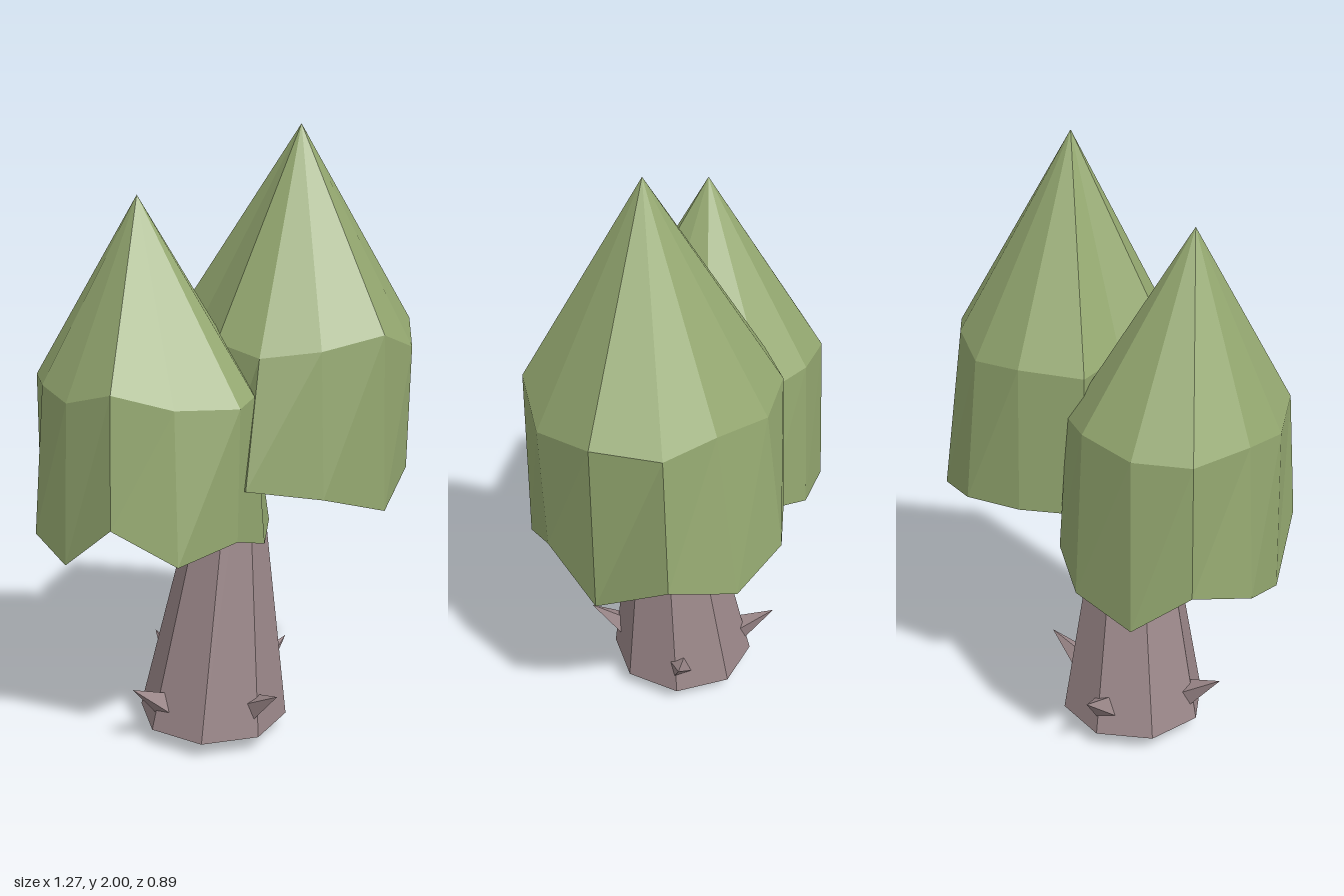
import * as THREE from 'three';

const leafMaterial = new THREE.MeshStandardMaterial({ color: 0x94a870, flatShading: true, side: THREE.DoubleSide });
const barkMaterial = new THREE.MeshStandardMaterial({ color: 0x9c888a, flatShading: true });

function addMesh(parent, name, geometry, material) {
  const mesh = new THREE.Mesh(geometry, material);
  mesh.name = name;
  parent.add(mesh);
  return mesh;
}

// Pointed cap over a hanging ragged skirt; rings run from +x towards +z
function canopyGeometry(apex, rim, hem) {
  const n = rim.length;
  const index = [];
  for (let i = 0; i < n; i++) {
    const j = (i + 1) % n;
    const a = 1 + i, b = 1 + j, c = 1 + n + j, d = 1 + n + i;
    index.push(0, b, a, a, b, c, a, c, d);
  }
  const geometry = new THREE.BufferGeometry();
  geometry.setAttribute('position', new THREE.Float32BufferAttribute([apex, ...rim, ...hem].flat(), 3));
  geometry.setIndex(index);
  geometry.computeVertexNormals();
  return geometry;
}

export function createModel() {
  const tree = new THREE.Group();
  tree.name = 'tree';

  // Tall canopy
  addMesh(tree, 'tallCanopy', canopyGeometry(
    [0.23, 2, 0],
    [
      [0.63, 1.37, -0.04], [0.55, 1.32, 0.18], [0.4, 1.39, 0.32], [0.2, 1.35, 0.325],
      [0.02, 1.33, 0.28], [-0.08, 1.36, 0.155], [-0.09, 1.37, -0.05], [-0.14, 1.35, -0.22],
      [0.02, 1.36, -0.35], [0.21, 1.34, -0.385], [0.41, 1.37, -0.32], [0.56, 1.35, -0.23],
    ],
    [
      [0.585, 0.77, -0.01], [0.55, 0.92, 0.17], [0.42, 0.83, 0.32], [0.2, 0.9, 0.37],
      [-0.04, 0.94, 0.35], [-0.09, 0.9, 0.17], [-0.09, 0.92, -0.04], [-0.11, 0.88, -0.21],
      [0.01, 0.9, -0.37], [0.2, 0.89, -0.445], [0.42, 0.845, -0.4], [0.59, 0.92, -0.26],
    ]), leafMaterial);

  // Short canopy
  addMesh(tree, 'shortCanopy', canopyGeometry(
    [-0.3, 1.8, 0.06],
    [
      [0.04, 1.22, 0.1], [0, 1.22, 0.3], [-0.06, 1.2, 0.36], [-0.26, 1.21, 0.37],
      [-0.44, 1.26, 0.34], [-0.55, 1.21, 0.2], [-0.6, 1.23, 0.03], [-0.595, 1.22, -0.175],
      [-0.46, 1.22, -0.29], [-0.26, 1.24, -0.315], [-0.09, 1.22, -0.25], [0.02, 1.22, -0.1],
    ],
    [
      [0.12, 0.74, 0.06], [0.05, 0.73, 0.25], [-0.07, 0.79, 0.37], [-0.27, 0.755, 0.445],
      [-0.455, 0.86, 0.37], [-0.57, 0.7, 0.2], [-0.64, 0.75, 0.03], [-0.6, 0.8, -0.17],
      [-0.49, 0.685, -0.31], [-0.26, 0.72, -0.345], [-0.08, 0.78, -0.28], [0.07, 0.75, -0.12],
    ]), leafMaterial);

  // Tapered eight-sided trunk, leaning slightly towards +x and +z
  const baseX = -0.065, baseZ = 0.03, baseY = 0.06, height = 1.04;
  const trunk = new THREE.CylinderGeometry(0.065, 0.25, height, 8);
  trunk.rotateY(Math.PI / 8).translate(0, height / 2, 0);
  const lean = new THREE.Matrix4().set(
    1, 0.065, 0, baseX,
    0, 1, 0, baseY,
    0, 0.036, 1, baseZ,
    0, 0, 0, 1);
  addMesh(tree, 'trunk', trunk.applyMatrix4(lean), barkMaterial);

  const up = new THREE.Vector3(0, 1, 0);
  for (let i = 0; i < 4; i++) {
    // Thorn pointing out and up from the trunk side
    const angle = i * Math.PI / 2 + 1.14;
    const out = new THREE.Vector3(Math.cos(angle), 0, Math.sin(angle));
    const start = out.clone().multiplyScalar(0.18).add(new THREE.Vector3(baseX, 0.13, baseZ));
    const tip = out.clone().multiplyScalar(0.33).add(new THREE.Vector3(baseX, 0.235, baseZ));
    const axis = tip.clone().sub(start);
    const thorn = new THREE.ConeGeometry(0.055, axis.length(), 4).translate(0, axis.length() / 2, 0);
    const thornMesh = addMesh(tree, 'thorn', thorn, barkMaterial);
    thornMesh.position.copy(start);
    thornMesh.quaternion.setFromUnitVectors(up, axis.normalize());

    // Root stub under the base
    const rootAngle = angle + 0.6;
    const root = new THREE.OctahedronGeometry(1).scale(0.085, 0.055, 0.045);
    const rootMesh = addMesh(tree, 'root', root, barkMaterial);
    rootMesh.position.set(baseX + 0.125 * Math.cos(rootAngle), 0.055, baseZ + 0.125 * Math.sin(rootAngle));
    rootMesh.rotation.y = Math.PI / 2 - rootAngle;
  }
  return tree;
}
